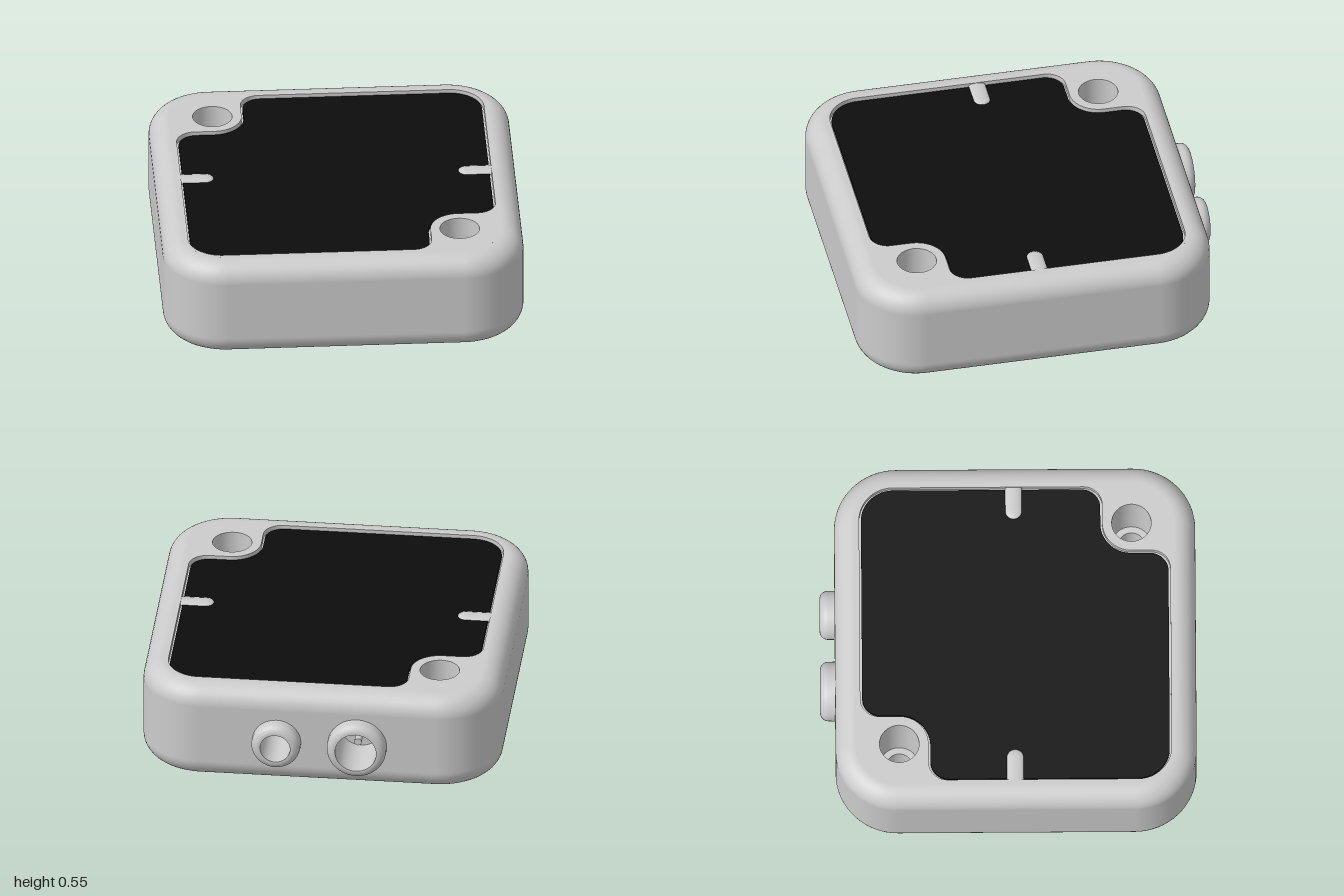
import * as THREE from 'three';
import { toCreasedNormals } from 'three/addons/utils/BufferGeometryUtils.js';

const HALF = 0.958, HEIGHT = 0.55, CORNER = 0.33, FILLET = 0.11;
const HOLE = 0.62, RECESS = 0.03, PORT_Y = 0.255;
const C = HALF - CORNER;
const PORTS = [
  { name: 'largePort', x: -0.215, outer: 0.158, inner: 0.11 },
  { name: 'smallPort', x: 0.215, outer: 0.13, inner: 0.08 },
];

const grey = new THREE.MeshStandardMaterial({ color: 0xcccccc });
const greyDouble = new THREE.MeshStandardMaterial({ color: 0xcccccc, side: THREE.DoubleSide });
const black = new THREE.MeshStandardMaterial({ color: 0x0d0d0d });

function add(parent, name, geometry, material = grey) {
  const mesh = new THREE.Mesh(geometry, material);
  mesh.name = name;
  parent.add(mesh);
  return mesh;
}

function circlePath(x, y, r) {
  return new THREE.Path().absarc(x, y, r, 0, Math.PI * 2, true);
}

function roundedSquare(h, r) {
  const s = new THREE.Shape();
  [[1, 1], [-1, 1], [-1, -1], [1, -1]].forEach(([x, y], k) =>
    s.absarc(x * (h - r), y * (h - r), r, k * Math.PI / 2, (k + 1) * Math.PI / 2));
  return s;
}

// Square outline with two opposite corners notched around the screw holes
function notchedSquare(h, corner, notch, fillet) {
  const s = new THREE.Shape(), q = Math.PI / 2, e = HOLE - notch;
  for (const [k, t] of [[1, 0], [-1, Math.PI]]) {
    s.absarc(k * (h - corner), k * (h - corner), corner, t, t + q);
    s.absarc(k * (fillet - e), k * (h - fillet), fillet, t + q, t + 2 * q);
    s.absarc(-k * HOLE, k * HOLE, notch, t, t - q, true);
    s.absarc(k * (fillet - h), k * (e - fillet), fillet, t + q, t + 2 * q);
  }
  return s;
}

// Rounded side wall: rounded-square rings stacked along a filleted profile,
// leaving the flat back open for the port wall
function sideWall() {
  const arc = 16, steps = 10, ring = 4 * (arc + 1);
  const pos = [], nor = [], idx = [];
  for (let l = 0; l < 2 * (steps + 1); l++) {
    const top = l > steps;
    const a = (top ? l - 1 : l) / steps * Math.PI / 2;
    const out = Math.sin(a), ny = -Math.cos(a);
    const r = CORNER - FILLET * (1 - out);
    const y = (top ? HEIGHT - FILLET : FILLET) + FILLET * ny;
    for (let k = 0; k < 4; k++) for (let j = 0; j <= arc; j++) {
      const t = (k + j / arc) * Math.PI / 2;
      const cx = k === 0 || k === 3 ? C : -C, cz = k < 2 ? C : -C;
      pos.push(cx + r * Math.cos(t), y, cz + r * Math.sin(t));
      nor.push(out * Math.cos(t), ny, out * Math.sin(t));
    }
  }
  for (let l = 0; l < 2 * steps + 1; l++) for (let i = 0; i < ring; i++) {
    if (l === steps && i === 3 * (arc + 1) - 1) continue;
    const a = l * ring + i, b = l * ring + (i + 1) % ring;
    idx.push(a, a + ring, b, b, a + ring, b + ring);
  }
  const g = new THREE.BufferGeometry();
  g.setAttribute('position', new THREE.Float32BufferAttribute(pos, 3));
  g.setAttribute('normal', new THREE.Float32BufferAttribute(nor, 3));
  g.setIndex(idx);
  return g;
}

// Rim plate, recess floor and inset black panel, facing up with the rim at y = 0
function coverFace(name, holeR, notch, fillet) {
  const face = new THREE.Group();
  face.name = name;
  const recess = notchedSquare(HALF - 0.133, 0.18, notch, fillet);
  const rim = roundedSquare(HALF - FILLET, CORNER - FILLET);
  rim.holes.push(recess, circlePath(-HOLE, HOLE, holeR), circlePath(HOLE, -HOLE, holeR));
  const extrude = (shape, depth, y) => toCreasedNormals(
    new THREE.ExtrudeGeometry(shape, { depth, bevelEnabled: false, curveSegments: 20 })
      .rotateX(-Math.PI / 2).translate(0, y, 0), 0.6);
  add(face, 'rim', extrude(rim, RECESS, -RECESS));
  add(face, 'recessFloor', new THREE.ShapeGeometry(recess, 20).rotateX(-Math.PI / 2).translate(0, -RECESS, 0));
  const panel = notchedSquare(HALF - 0.143, 0.17, notch + 0.01, fillet);
  add(face, 'panel', extrude(panel, 0.015, -RECESS), black);
  return face;
}

function lathe(points, segments = 40) {
  const g = new THREE.LatheGeometry(points.map(([x, y]) => new THREE.Vector2(x, y)), segments);
  return toCreasedNormals(g, 0.6);
}

export function createModel() {
  const model = new THREE.Group();
  model.name = 'enclosure';
  const body = new THREE.Group();
  body.name = 'body';
  body.position.z = 0.04;
  model.add(body);

  add(body, 'sideWall', sideWall());

  // Flat back wall pierced by the two ports
  const wall = new THREE.Shape([[-C, FILLET], [C, FILLET], [C, HEIGHT - FILLET], [-C, HEIGHT - FILLET]]
    .map(([x, y]) => new THREE.Vector2(x, y)));
  for (const p of PORTS) wall.holes.push(circlePath(-p.x, PORT_Y, p.inner));
  add(body, 'backWall', new THREE.ShapeGeometry(wall, 20).rotateY(Math.PI).translate(0, 0, -HALF));

  // Top and bottom covers
  const top = coverFace('topCover', 0.105, 0.155, 0.1);
  top.position.y = HEIGHT;
  const bottom = coverFace('bottomCover', 0.07, 0.12, 0.035);
  bottom.rotation.set(Math.PI, Math.PI / 2, 0);
  body.add(top, bottom);

  // Counterbored screw holes and rounded side tabs
  for (const s of [-1, 1]) {
    const bore = add(body, 'screwHole',
      lathe([[0.07, 0], [0.07, 0.2], [0.105, 0.2], [0.105, HEIGHT]]), greyDouble);
    bore.position.set(s * HOLE, 0, s * HOLE);
    const tab = add(body, 'tab', new THREE.CapsuleGeometry(0.045, 0.13, 8, 20).rotateZ(Math.PI / 2));
    tab.scale.y = 0.35;
    tab.position.set(s * 0.76, HEIGHT - 0.018, -0.005);
  }

  // Port collars with rounded lips and blind sockets
  for (const p of PORTS) {
    const port = new THREE.Group();
    port.name = p.name;
    port.position.set(p.x, PORT_Y, -HALF);
    port.rotation.x = -Math.PI / 2;
    body.add(port);
    const lip = 0.045, out = 0.08, pts = [[p.outer, -0.03]];
    for (let i = 0; i <= 8; i++) {
      const a = i / 8 * Math.PI / 2;
      pts.push([p.outer - lip + lip * Math.cos(a), out - lip + lip * Math.sin(a)]);
    }
    pts.push([p.inner, out], [p.inner, -0.2], [0, -0.2]);
    add(port, 'collar', lathe(pts), greyDouble);
    if (p.name === 'largePort') {
      const pin = add(port, 'pin', new THREE.CylinderGeometry(0.02, 0.02, 0.16, 16));
      pin.position.y = -0.12;
    }
  }
  return model;
}
